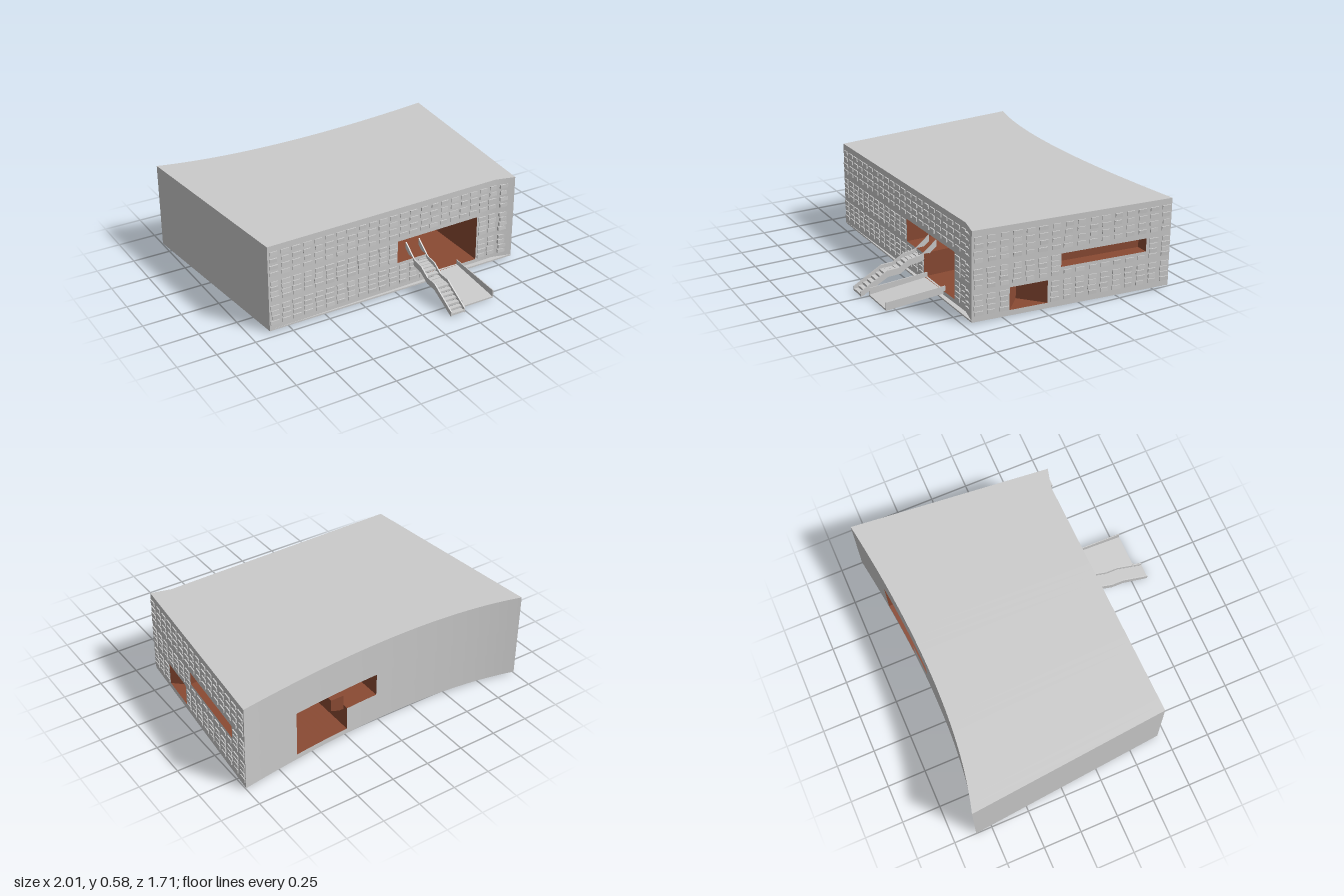
import * as THREE from 'three';
import { mergeGeometries } from 'three/addons/utils/BufferGeometryUtils.js';

const GREY = new THREE.MeshStandardMaterial({ color: 0xcccccc, side: THREE.DoubleSide });
const BROWN = new THREE.MeshStandardMaterial({ color: 0x8a4a33, side: THREE.DoubleSide });
const Y0 = 0.01, Y1 = 0.58;

// Plan curves: folded front, bowed back, slanted right side
const lerp = THREE.MathUtils.lerp;
const frontZ = x => x < 0.75 ? lerp(0.45, 0.417, (x + 0.88) / 1.63) : lerp(0.417, 0.45, (x - 0.75) / 0.13);
const backZ = x => {
  const t = (-1.4 + Math.sqrt(1.96 + 2.4 * (1 + x))) / 1.2;
  return -0.855 + 0.4 * t * (1 - t);
};
const sideX = z => lerp(0.88, 1, (0.45 - z) / 1.305);

// Openings as [u0, u1, y0, y1]
const FRONT_HOLES = [[0.02, 0.62, 0.2, 0.35], [0.24, 0.62, 0.045, 0.35]];
const SIDE_HOLES = [[-0.035, 0.21, 0.045, 0.19], [-0.69, -0.12, 0.26, 0.345]];
const LEVELS = [Y0, 0.045, 0.19, 0.2, 0.26, 0.345, 0.35, Y1];

const hits = (holes, u0, u1, v0, v1) =>
  holes.some(h => u1 > h[0] + 1e-6 && u0 < h[1] - 1e-6 && v1 > h[2] + 1e-6 && v0 < h[3] - 1e-6);

// Surface over a grid of u and v values, leaving out cells that fall in a hole
function gridSurface(us, vs, point, holes = []) {
  const pos = [], index = [], n = vs.length;
  us.forEach(u => vs.forEach(v => pos.push(...point(u, v))));
  for (let i = 0; i < us.length - 1; i++) for (let j = 0; j < n - 1; j++) {
    if (hits(holes, us[i], us[i + 1], vs[j], vs[j + 1])) continue;
    const a = i * n + j, b = a + n;
    index.push(a, b, b + 1, a, b + 1, a + 1);
  }
  const g = new THREE.BufferGeometry();
  g.setAttribute('position', new THREE.Float32BufferAttribute(pos, 3));
  g.setIndex(index);
  g.computeVertexNormals();
  return g;
}

const range = (a, b, n) => Array.from({ length: n + 1 }, (_, i) => lerp(a, b, i / n));
const sorted = list => [...new Set(list)].sort((a, b) => a - b);

// Solid from a side profile of [z, y] points, spanning x0 to x1
function sideProfile(pts, x0, x1) {
  const shape = new THREE.Shape(pts.map(([z, y]) => new THREE.Vector2(-z, y)));
  const g = new THREE.ExtrudeGeometry(shape, { depth: x1 - x0, bevelEnabled: false });
  return g.rotateY(Math.PI / 2).translate(x0, 0, 0);
}

// Recess in the side wall: walls along a plan path, plus floor and ceiling
function recess(path, y0, y1) {
  const parts = path.slice(1).map((p, i) =>
    gridSurface([0, 1], [y0, y1], (u, y) => [lerp(path[i][0], p[0], u), y, lerp(path[i][1], p[1], u)]));
  const shape = new THREE.Shape(path.map(([x, z]) => new THREE.Vector2(x, -z)));
  for (const y of [y0, y1]) {
    const cap = new THREE.ShapeGeometry(shape).rotateX(-Math.PI / 2).translate(0, y, 0);
    cap.deleteAttribute('uv');
    parts.push(cap);
  }
  return mergeGeometries(parts);
}

// Raised wall tiles in three bands of four rows
function tiles(start, end, count, place, holes, seed) {
  const rand = () => (seed = (seed * 16807) % 2147483647) / 2147483647;
  const list = [], pitch = (end - start) / (count - 1);
  for (const [y0, dy] of [[0.062, 0.035], [0.227, 0.034], [0.393, 0.045]])
    for (let r = 0; r < 4; r++) for (let c = 0; c < count; c++) {
      const u = start + c * pitch + (rand() - 0.5) * 0.008, y = y0 + r * dy;
      const w = 0.046 + rand() * 0.014, h = 0.025;
      if (hits(holes, u - w / 2, u + w / 2, y - h / 2, y + h / 2)) continue;
      const g = new THREE.BoxGeometry(w, h, 0.014).rotateX((rand() - 0.5) * 0.12);
      list.push(place(g, u, y));
    }
  return mergeGeometries(list);
}

export function createModel() {
  const model = new THREE.Group();
  const add = (name, geometry, material = GREY) => {
    const m = new THREE.Mesh(geometry, material);
    m.name = name;
    model.add(m);
    return m;
  };

  // Outer shell
  const us = sorted([...range(-1, 1, 40), 0.75 / 0.88]);
  const edgePoint = (u, k, y, front) => [lerp(0.88, 1, k) * u, y, k ? backZ(u) : front(0.88 * u)];
  add('roof', gridSurface(us, [0, 1], (u, k) => edgePoint(u, k, Y1, frontZ)));
  add('underside', gridSurface(us, [0, 1], (u, k) => edgePoint(u, k, Y0, () => 0.45)));
  add('frontWall', gridSurface([-0.88, 0.02, 0.24, 0.62, 0.75, 0.88], LEVELS,
    (x, y) => [x, y, frontZ(x)], FRONT_HOLES));
  add('backWall', gridSurface(sorted([...range(-1, 1, 40), 0.02, 0.24, 0.62]), LEVELS,
    (x, y) => [x, y, backZ(x)], FRONT_HOLES));
  add('leftPlanWall', gridSurface([0.45, -0.855], [Y0, Y1], (z, y) => [-sideX(z), y, z]));
  add('panelledSideWall', gridSurface([-0.855, -0.69, -0.12, -0.035, 0.21, 0.45], LEVELS,
    (z, y) => [sideX(z), y, z], SIDE_HOLES));

  // Thin ledge along the foot of the front wall
  add('frontLedge', mergeGeometries([
    gridSurface([-0.88, 0.75, 0.88], [0, 1], (x, k) => [x, 0.02, k ? 0.45 : frontZ(x)]),
    gridSurface([-0.88, 0.88], [Y0, 0.02], (x, y) => [x, y, 0.45]),
  ]));

  // Tiles
  add('frontTiles', tiles(-0.84, 0.81, 23, (g, x, y) => g.translate(x, y, frontZ(x)), FRONT_HOLES, 7));
  add('sideTiles', tiles(-0.82, 0.41, 16,
    (g, z, y) => g.rotateY(Math.PI / 2 - 0.092).translate(sideX(z), y, z), SIDE_HOLES, 21));

  // Stepped passage running through from front to back
  const loop = [[0.02, 0.2], [0.02, 0.35], [0.62, 0.35], [0.62, 0.045], [0.24, 0.045], [0.24, 0.2], [0.02, 0.2]];
  add('passageLining', mergeGeometries(loop.slice(1).map(([x1, y1], i) => {
    const [x0, y0] = loop[i];
    return gridSurface(range(0, 1, 12), [0, 1], (u, k) => {
      const x = lerp(x0, x1, u);
      return [x, lerp(y0, y1, u), k ? backZ(x) : frontZ(x)];
    });
  })), BROWN);

  // Bridge and gallery inside the passage
  const bridge = add('passageBridge', new THREE.BoxGeometry(0.38, 0.075, 0.45), BROWN);
  bridge.position.set(0.43, 0.232, -0.08);
  const section = [[0.24, 0.17], [0.27, 0.17], [0.33, 0.192], [0.33, 0.27], [0.24, 0.27]];
  const gallery = new THREE.ExtrudeGeometry(new THREE.Shape(section.map(p => new THREE.Vector2(...p))),
    { depth: 0.43, bevelEnabled: false });
  add('passageGallery', gallery.translate(0, 0, -0.73), BROWN);

  // Side recesses: a wedge-shaped entrance and a long window
  add('sideEntrance', recess([[sideX(0.21), 0.21], [0.78, 0.095], [sideX(-0.035), -0.035]], 0.045, 0.19), BROWN);
  add('sideWindow', recess([[sideX(-0.12), -0.12], [sideX(-0.12) - 0.08, -0.12],
    [sideX(-0.69) - 0.08, -0.69], [sideX(-0.69), -0.69]], 0.26, 0.345), BROWN);

  // Entrance stair: two solid stringers with treads between
  const slope = [[0.855, 0.035], [0.67, 0.137], [0.59, 0.14], [0.52, 0.182], [0.45, 0.19], [0.43, 0.2], [0.34, 0.27]];
  const lower = slope.map(([z, y], i) => [z, i ? y - 0.042 : 0.002]).reverse();
  for (const x of [0.136, 0.232]) add('stairStringer', sideProfile([...slope, ...lower], x, x + 0.008));
  const heightAt = z => {
    const i = Math.max(1, slope.findIndex(p => p[0] <= z));
    const [a, b] = [slope[i - 1], slope[i]];
    return lerp(a[1], b[1], (a[0] - z) / (a[0] - b[0]));
  };
  for (let i = 0; i < 16; i++) {
    const z = 0.84 - i * 0.0285;
    const tread = add('stairTread', new THREE.BoxGeometry(0.09, 0.014, 0.029));
    tread.position.set(0.188, heightAt(z) - 0.03, z);
  }

  // Entrance ramp with low side rails
  add('rampDeck', sideProfile([[0.805, 0.012], [0.41, 0.046], [0.41, 0.03], [0.805, 0.002]], 0.25, 0.485));
  for (const x of [0.247, 0.479])
    add('rampRail', sideProfile([[0.805, 0.055], [0.41, 0.076], [0.41, 0.028], [0.805, 0.008]], x, x + 0.006));

  return model;
}
